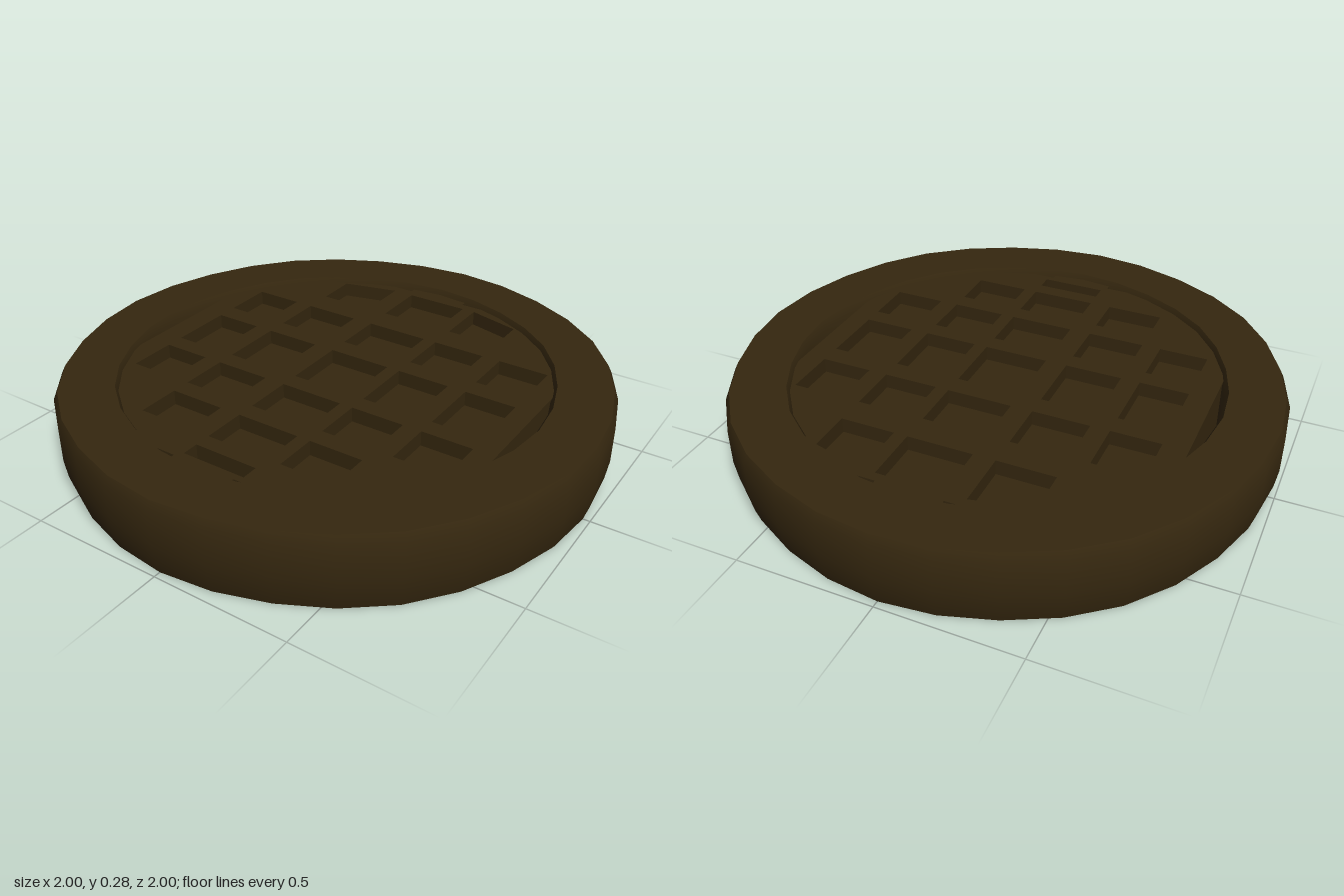
import * as THREE from 'three';
import { toCreasedNormals } from 'three/addons/utils/BufferGeometryUtils.js';

export function createModel() {
  const group = new THREE.Group();
  const brown = new THREE.MeshStandardMaterial({ color: 0x35270f });
  brown.name = 'dark brown';

  const add = (name, geometry) => {
    const mesh = new THREE.Mesh(geometry, brown);
    mesh.name = name;
    group.add(mesh);
    return mesh;
  };

  // Chunky outer ring with chamfered edges and slight hand-made unevenness
  const profile = [
    [0.77, 0.04], [0.785, 0], [0.97, 0], [0.985, 0.05], [0.995, 0.12],
    [0.995, 0.25], [0.98, 0.28], [0.785, 0.28], [0.77, 0.25], [0.77, 0.04],
  ].map(([r, y]) => new THREE.Vector2(r, y));
  const ring = new THREE.LatheGeometry(profile, 32);
  const p = ring.attributes.position;
  for (let i = 0; i < p.count; i++) {
    const a = Math.atan2(p.getZ(i), p.getX(i));
    const k = 1.005 - 0.006 * (1 - Math.cos(8 * a)) / 2;
    p.setXYZ(i, p.getX(i) * k, p.getY(i), p.getZ(i) * k);
  }
  add('outerRing', toCreasedNormals(ring, 0.6));

  // Round panel outline, cut straight at the sides to leave narrow slits
  const outline = () => {
    const pts = [];
    for (let i = 0; i < 64; i++) {
      const a = (i / 64) * Math.PI * 2;
      pts.push(new THREE.Vector2(
        THREE.MathUtils.clamp(0.79 * Math.cos(a), -0.73, 0.73),
        THREE.MathUtils.clamp(0.79 * Math.sin(a), -0.745, 0.745)));
    }
    return new THREE.Shape(pts);
  };
  const slab = (name, shape, y, depth) => {
    const geometry = new THREE.ExtrudeGeometry(shape, { depth, bevelEnabled: false });
    geometry.rotateX(Math.PI / 2); // shape y becomes z
    geometry.translate(0, y + depth, 0);
    add(name, geometry);
  };

  // Lattice of bars, with one hole per cell; cells by the rim are cut short
  const columns = [[-0.64, -0.46], [-0.39, -0.18], [-0.10, 0.14], [0.19, 0.39], [0.46, 0.65]];
  const rows = [[-0.71, -0.5], [-0.39, -0.2], [-0.12, 0.12], [0.19, 0.37], [0.44, 0.6], [0.66, 0.72]];
  const lattice = outline();
  for (const [x0, x1] of columns) {
    for (const [r0, r1] of rows) {
      // Each side of the cell stops at the rim
      const limit = (x) => Math.sqrt(0.765 ** 2 - x * x);
      const corner = (x, z) => new THREE.Vector2(x, THREE.MathUtils.clamp(z, -limit(x), limit(x)));
      const cell = [corner(x0, r0), corner(x0, r1), corner(x1, r1), corner(x1, r0)];
      if (Math.min(cell[1].y - cell[0].y, cell[2].y - cell[3].y) < 0.02) continue;
      lattice.holes.push(new THREE.Path(cell));
    }
  }
  slab('lattice', lattice, 0.025, 0.235);

  // Floor halfway through the cells
  slab('cellFloor', outline(), 0.075, 0.13);

  // Front and back tabs joining the lattice to the ring
  for (const side of [-1, 1]) {
    const tab = add('joiningTab', new THREE.BoxGeometry(0.24, 0.235, 0.08));
    tab.position.set(0, 0.1425, side * 0.765);
  }

  return group;
}
